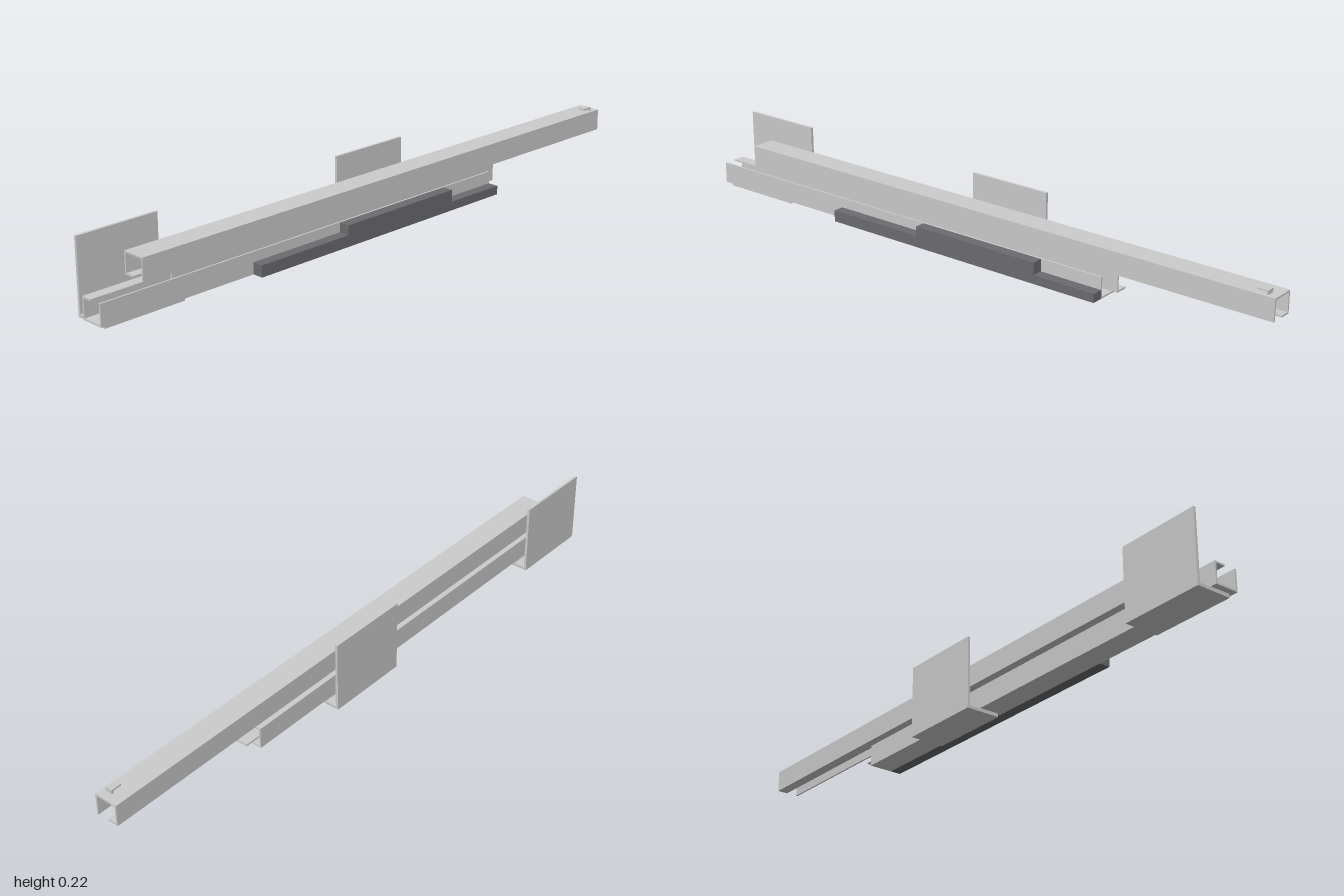
import * as THREE from 'three';

const steel = new THREE.MeshStandardMaterial({ color: 0xcccccc });
const dark = new THREE.MeshStandardMaterial({ color: 0x6c6c70 });

// Extrude a closed (z, y) outline along x from x0 to x1
function alongX(name, outline, x0, x1) {
  const shape = new THREE.Shape(outline.map(([z, y]) => new THREE.Vector2(-z, y)));
  const geo = new THREE.ExtrudeGeometry(shape, { depth: x1 - x0, bevelEnabled: false });
  geo.rotateY(Math.PI / 2).translate(x0, 0, 0);
  const mesh = new THREE.Mesh(geo, steel);
  mesh.name = name;
  return mesh;
}

// Extrude a closed (x, y) outline along z from z0 to z1
function alongZ(name, outline, z0, z1, material) {
  const shape = new THREE.Shape(outline.map(([x, y]) => new THREE.Vector2(x, y)));
  const geo = new THREE.ExtrudeGeometry(shape, { depth: z1 - z0, bevelEnabled: false });
  geo.translate(0, 0, z0);
  const mesh = new THREE.Mesh(geo, material);
  mesh.name = name;
  return mesh;
}

export function createModel() {
  const model = new THREE.Group();
  model.name = 'slidingRail';
  const t = 0.005;
  const front = 0.043, back = -0.031, lip = 0.003;

  // Hooked channel: plain front leg, back leg with an inward lip.
  // web = outer y of the web, dir = direction in which the legs run
  const channel = (web, dir, leg) => {
    const y = (d) => web + dir * d;
    return [
      [front, y(leg)], [front, y(0)], [back, y(0)], [back, y(leg)],
      [lip, y(leg)], [lip, y(leg - t)], [back + t, y(leg - t)],
      [back + t, y(t)], [front - t, y(t)], [front - t, y(leg)],
    ];
  };
  model.add(alongX('upperChannel', channel(0.161, -1, 0.066), -0.863, 1));
  model.add(alongX('lowerChannel', channel(0.011, 1, 0.065), -1, 0.468));

  // C-shaped runner linking both channels
  const a = 0.023, b = -0.016, y0 = 0.034, y1 = 0.136;
  model.add(alongX('middleRunner', [
    [a, y0], [b, y0], [b, y0 + t], [a - t, y0 + t],
    [a - t, y1 - t], [b, y1 - t], [b, y1], [a, y1],
  ], -0.755, 0.508));

  // L-shaped mounting brackets
  for (const [x0, x1] of [[-0.982, -0.722], [-0.07, 0.195]]) {
    model.add(alongX('mountingBracket', [
      [0.033, 0], [-0.076, 0], [-0.076, 0.222], [-0.068, 0.222],
      [-0.068, 0.009], [-0.032, 0.009], [-0.032, 0.011], [0.033, 0.011],
    ], x0, x1));
  }

  // Stepped dark block on the front of the lower channel
  model.add(alongZ('frontBlock', [
    [-0.492, 0.011], [0.468, 0.011], [0.468, 0.038], [0.263, 0.038],
    [0.263, 0.075], [-0.167, 0.075], [-0.167, 0.046], [-0.492, 0.046],
  ], front, 0.077, dark));

  // Small bent catch on top of the upper channel
  model.add(alongZ('catch', [
    [0.968, 0.161], [0.974, 0.161], [0.974, 0.173],
    [0.94, 0.173], [0.94, 0.168], [0.968, 0.168],
  ], 0.01, 0.033, steel));

  return model;
}
